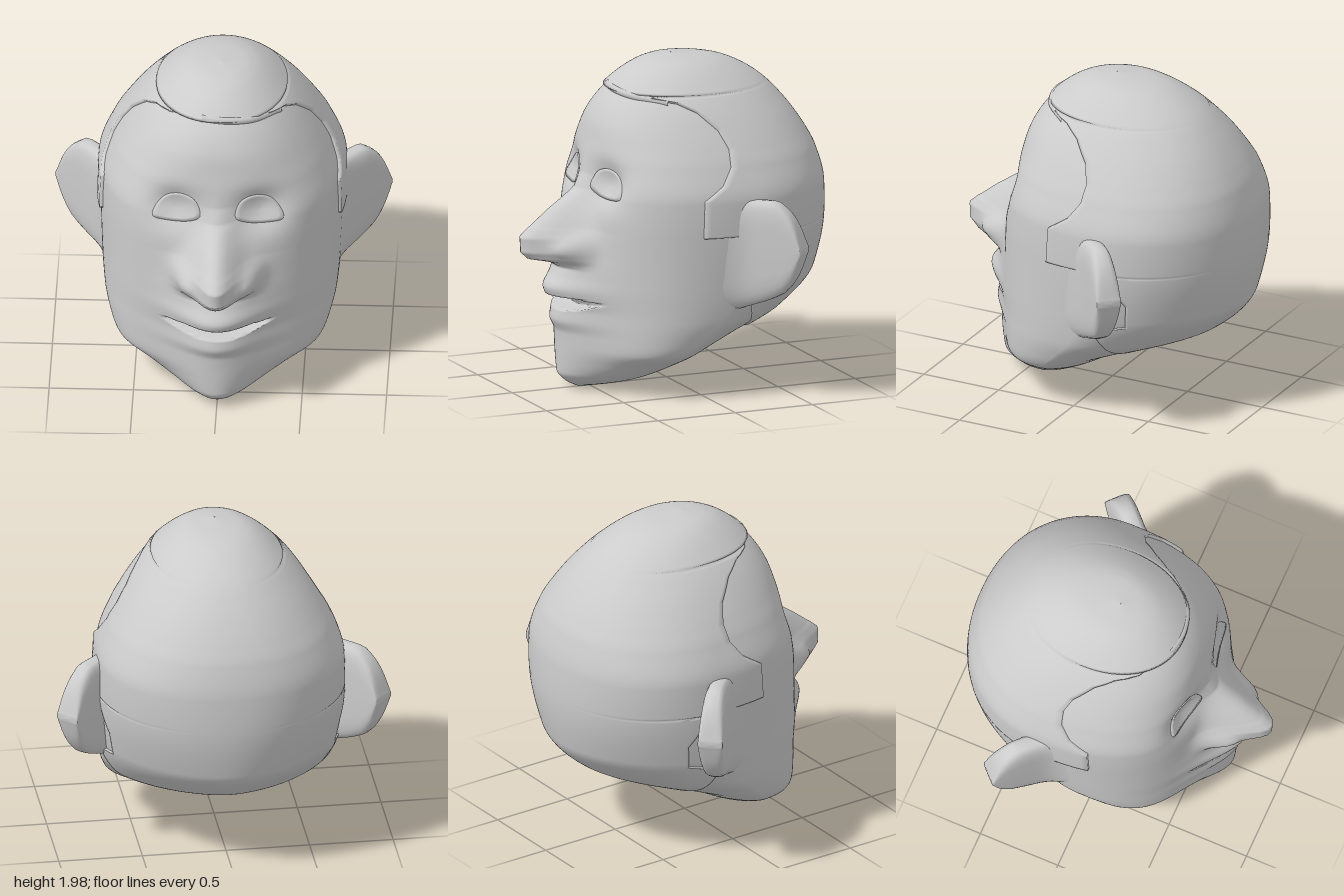
import * as THREE from 'three';

// Outline of the head by height: [y, halfWidth, widestZ, frontZ, backZ, frontSquareness, backSquareness]
const SECTIONS = [
  [0.00, 0.005, 0.54, 0.55, 0.53, 2.0, 2.0], [0.04, 0.16, 0.42, 0.56, 0.30, 2.0, 2.0],
  [0.08, 0.27, 0.33, 0.56, 0.18, 2.0, 1.9], [0.17, 0.45, 0.24, 0.56, -0.01, 2.1, 1.8],
  [0.27, 0.61, 0.15, 0.56, -0.18, 2.3, 1.7], [0.36, 0.655, 0.06, 0.56, -0.42, 2.4, 1.65],
  [0.48, 0.69, -0.06, 0.56, -0.70, 2.5, 1.7], [0.68, 0.71, -0.18, 0.57, -0.88, 2.6, 1.85],
  [1.00, 0.722, -0.25, 0.58, -0.925, 2.6, 2.05], [1.20, 0.715, -0.25, 0.57, -0.915, 2.6, 2.15],
  [1.40, 0.645, -0.22, 0.53, -0.865, 2.5, 2.2], [1.50, 0.59, -0.19, 0.505, -0.815, 2.4, 2.2],
  [1.60, 0.525, -0.16, 0.48, -0.75, 2.3, 2.2], [1.70, 0.45, -0.13, 0.43, -0.67, 2.2, 2.15],
  [1.80, 0.357, -0.11, 0.345, -0.565, 2.1, 2.1], [1.90, 0.235, -0.09, 0.21, -0.39, 2.0, 2.0],
  [1.935, 0.155, -0.06, 0.11, -0.26, 2.0, 2.0], [1.955, 0.002, -0.03, -0.028, -0.032, 2.0, 2.0],
];
// Centre-line relief, as [y, amount]
const NOSE = [[0.75, 0], [0.78, 0.07], [0.81, 0.23], [0.85, 0.30], [0.94, 0.345], [0.99, 0.31], [1.09, 0.19], [1.21, 0.03], [1.30, 0]];
const MUZZLE = [[0, 0.02], [0.04, 0.09], [0.1, 0.14], [0.35, 0.15], [0.43, 0.18], [0.5, 0.17], [0.56, 0.2], [0.62, 0.22], [0.7, 0.17], [0.77, 0.13], [0.85, 0.07], [1.0, 0]];
// Front edge of the hair on the sides, as [y, z]
const HAIRLINE = [[0.36, -0.31], [0.43, -0.29], [0.58, -0.24], [0.62, -0.27], [0.65, -0.42], [0.8, -0.44], [0.99, -0.32], [1.0, 0.07],
  [1.22, 0.06], [1.3, -0.06], [1.4, -0.13], [1.5, -0.14], [1.6, -0.1], [1.7, 0], [1.75, 0.1], [1.77, 0.22], [1.79, 0.6]];
// Ear edges, as [distance outwards, y]
const EAR_TOP = [[0, 1.17], [0.1, 1.21], [0.3, 1.215], [0.4, 1.15], [0.45, 1.07], [0.475, 1.0], [0.49, 0.95]];
const EAR_BOTTOM = [[0, 0.52], [0.1, 0.55], [0.36, 0.655], [0.42, 0.72], [0.46, 0.8], [0.49, 0.9]];

// Straight interpolation in a table
function lookup(table, t, col = 1) {
  if (t <= table[0][0]) return table[0][col];
  for (let i = 1; i < table.length; i++) {
    const a = table[i - 1], b = table[i];
    if (t <= b[0]) return a[col] + (b[col] - a[col]) * (t - a[0]) / (b[0] - a[0]);
  }
  return table[table.length - 1][col];
}
// Smooth interpolation without overshoot
function smooth(table, t, col = 1) {
  const last = table.length - 1;
  if (t >= table[last][0]) return table[last][col];
  const i = Math.max(0, table.findIndex(row => row[0] >= t) - 1);
  const secant = k => (table[k + 1][col] - table[k][col]) / (table[k + 1][0] - table[k][0]);
  const slope = k => {
    if (k === 0) return secant(0);
    if (k === last) return secant(last - 1);
    const p = secant(k - 1), q = secant(k);
    return p * q <= 0 ? 0 : 2 * p * q / (p + q);
  };
  const h = table[i + 1][0] - table[i][0], u = (t - table[i][0]) / h, v = 1 - u;
  return table[i][col] * v * v * (1 + 2 * u) + table[i + 1][col] * u * u * (3 - 2 * u)
    + h * u * v * (slope(i) * v - slope(i + 1) * u);
}
const cache = new Map();
function section(y) {
  if (!cache.has(y)) cache.set(y, [1, 2, 3, 4, 5, 6].map(c => smooth(SECTIONS, y, c)));
  return cache.get(y);
}
const bell = (d, s, power = 2) => Math.exp(-Math.pow(Math.abs(d / s), power));

// Nose, lips, chin, mouth opening and eye sockets as depth on the face
function relief(x, y) {
  const ax = Math.abs(x);
  let d = lookup(NOSE, y) * bell(x, 0.155 - 0.07 * THREE.MathUtils.smoothstep(y, 0.92, 1.22), 2.2);
  d += smooth(MUZZLE, y) * bell(x, 0.27);
  d += 0.1 * bell(ax - 0.195, 0.06) * bell(y - 0.88, 0.075);
  d -= 0.09 * bell(ax - 0.25, 0.15) * bell(y - 1.27, 0.12);
  const m = (x / 0.33) ** 2;
  if (m < 1) {
    const top = 0.58 - 0.02 * m, low = 0.49 + 0.065 * m;
    const v = (y - low) / (top - low);
    if (v > 0 && v < 1) d -= 0.14 * (1 - m) * Math.min(1, v * 5, (1 - v) * 8);
  }
  return d;
}
// Surface point; angle 0 is the front, a quarter turn is the model's left
function headPoint(y, angle, face = true, swell = 0) {
  const [w, zc, zf, zb, nf, nb] = section(y);
  const s = Math.sin(angle), c = Math.cos(angle), front = c > 0;
  const k = front ? nf : nb;
  const round = Math.pow(Math.max(0, 1 - Math.pow(Math.abs(s), k)), 1 / k);
  let z = zc + (front ? zf - zc : zb - zc) * round;
  if (front && face) z += relief(w * s, y) * round;
  const up = THREE.MathUtils.smoothstep(y, 1.5, 1.955), out = swell * Math.sqrt(1 - up);
  return [w * s + out * s, y + swell * up, z + out * c];
}

// Skin a grid of rows of points
function gridGeometry(rows, closed) {
  const n = rows[0].length, index = [];
  for (let i = 0; i < rows.length - 1; i++) {
    for (let j = 0; j < (closed ? n : n - 1); j++) {
      const a = i * n + j, b = i * n + (j + 1) % n;
      index.push(a, b, b + n, a, b + n, a + n);
    }
  }
  const g = new THREE.BufferGeometry();
  g.setAttribute('position', new THREE.Float32BufferAttribute(rows.flat(2), 3));
  g.setIndex(index);
  g.computeVertexNormals();
  return g;
}
// Heights in even steps, closing up towards the crown
function heights(from) {
  const count = Math.round((1.93 - from) / 0.01);
  const even = Array.from({ length: count + 1 }, (_, i) => from + (1.93 - from) * i / count);
  return [...even, 1.936, 1.941, 1.945, 1.949, 1.952, 1.954, 1.955];
}

function faceGeometry() {
  const cols = 132;
  return gridGeometry(heights(0).map(y =>
    Array.from({ length: cols }, (_, j) => headPoint(y, j / cols * Math.PI * 2))), true);
}

// Hair shell, starting at the hairline and tucked onto the skin at its rim
function hairGeometry() {
  const cols = 90;
  return gridGeometry(heights(0.36).map((y, i) => {
    const edge = lookup(HAIRLINE, y);
    let lo = 0, hi = Math.PI;
    for (let k = 0; k < 24; k++) {
      const mid = (lo + hi) / 2;
      if (headPoint(y, mid, false)[2] > edge) lo = mid; else hi = mid;
    }
    return Array.from({ length: cols + 1 }, (_, j) => {
      const t = j <= 1 ? j * 0.001 : j >= cols - 1 ? 1 - (cols - j) * 0.001 : (j - 1) / (cols - 2);
      const rim = i === 0 || (lo > 0.02 && (j === 0 || j === cols));
      return headPoint(y, lo + t * 2 * (Math.PI - lo), false, rim ? -0.004 : 0.02);
    });
  }), false);
}

// Almond-shaped eye laid on the face, its rim sunk into the socket
function eyeGeometry(side) {
  const outline = new THREE.CatmullRomCurve3(
    [[0.105, 1.24], [0.135, 1.33], [0.22, 1.36], [0.32, 1.325], [0.39, 1.21], [0.31, 1.188], [0.18, 1.195]]
      .map(([x, y]) => new THREE.Vector3(x * side, y, 0)), true).getPoints(40).slice(0, -1);
  if (side > 0) outline.reverse();
  const rows = [[1, -0.02], [0.995, 0.008], [0.8, 0.01], [0.6, 0.012], [0.4, 0.014], [0.2, 0.015], [0, 0.015]];
  return gridGeometry(rows.map(([r, lift]) => outline.map(p => {
    const x = 0.25 * side + (p.x - 0.25 * side) * r, y = 1.265 + (p.y - 1.265) * r;
    return [x, y, headPoint(y, Math.asin(x / section(y)[0]))[2] + lift];
  })), true);
}

// Ear as loops running outwards; its front flares into the cheek
function earGeometry(side) {
  const steps = [0, 0.03, 0.06, 0.09, 0.12, 0.15, 0.19, 0.24, 0.29, 0.33, 0.37, 0.4, 0.425, 0.445, 0.46, 0.475, 0.485, 0.49];
  const loop = (s, scale) => Array.from({ length: 28 }, (_, j) => {
    const a = side * j / 28 * Math.PI * 2, c = Math.cos(a), n = Math.sin(a);
    const top = smooth(EAR_TOP, s), low = smooth(EAR_BOTTOM, s);
    const y = (top + low) / 2 + (top - low) / 2 * Math.sign(c) * Math.sqrt(Math.abs(c)) * scale;
    let z = 0.075 * Math.sign(n) * Math.pow(Math.abs(n), 0.6) * scale;
    if (n > 0) z += 1.8 * Math.max(0, 0.2 - s) ** 2 * Math.sqrt(n);
    // Plate swept back at 45 degrees
    return [side * (0.6 + (s + z) * Math.SQRT1_2), y, -0.125 + (z - s) * Math.SQRT1_2];
  });
  return gridGeometry([...steps.map(s => loop(s, 1)), loop(0.492, 0.9), loop(0.494, 0)], true);
}

export function createModel() {
  const model = new THREE.Group();
  const material = new THREE.MeshStandardMaterial({ color: 0xcccccc, side: THREE.DoubleSide });
  const add = (name, geometry) => {
    const mesh = new THREE.Mesh(geometry, material);
    mesh.name = name;
    model.add(mesh);
  };
  add('face', faceGeometry());
  add('hair', hairGeometry());
  for (const side of [1, -1]) {
    const label = side > 0 ? 'left' : 'right';
    add(label + 'Eye', eyeGeometry(side));
    add(label + 'Ear', earGeometry(side));
  }

  // Loose lock of hair swept across the forehead
  const sweep = new THREE.CatmullRomCurve3([
    new THREE.Vector3(-0.1, 1.8, 0.335), new THREE.Vector3(0.05, 1.795, 0.35),
    new THREE.Vector3(0.2, 1.78, 0.3), new THREE.Vector3(0.35, 1.755, 0.14),
  ]);
  add('hairLock', new THREE.TubeGeometry(sweep, 20, 0.022, 8));
  return model;
}
